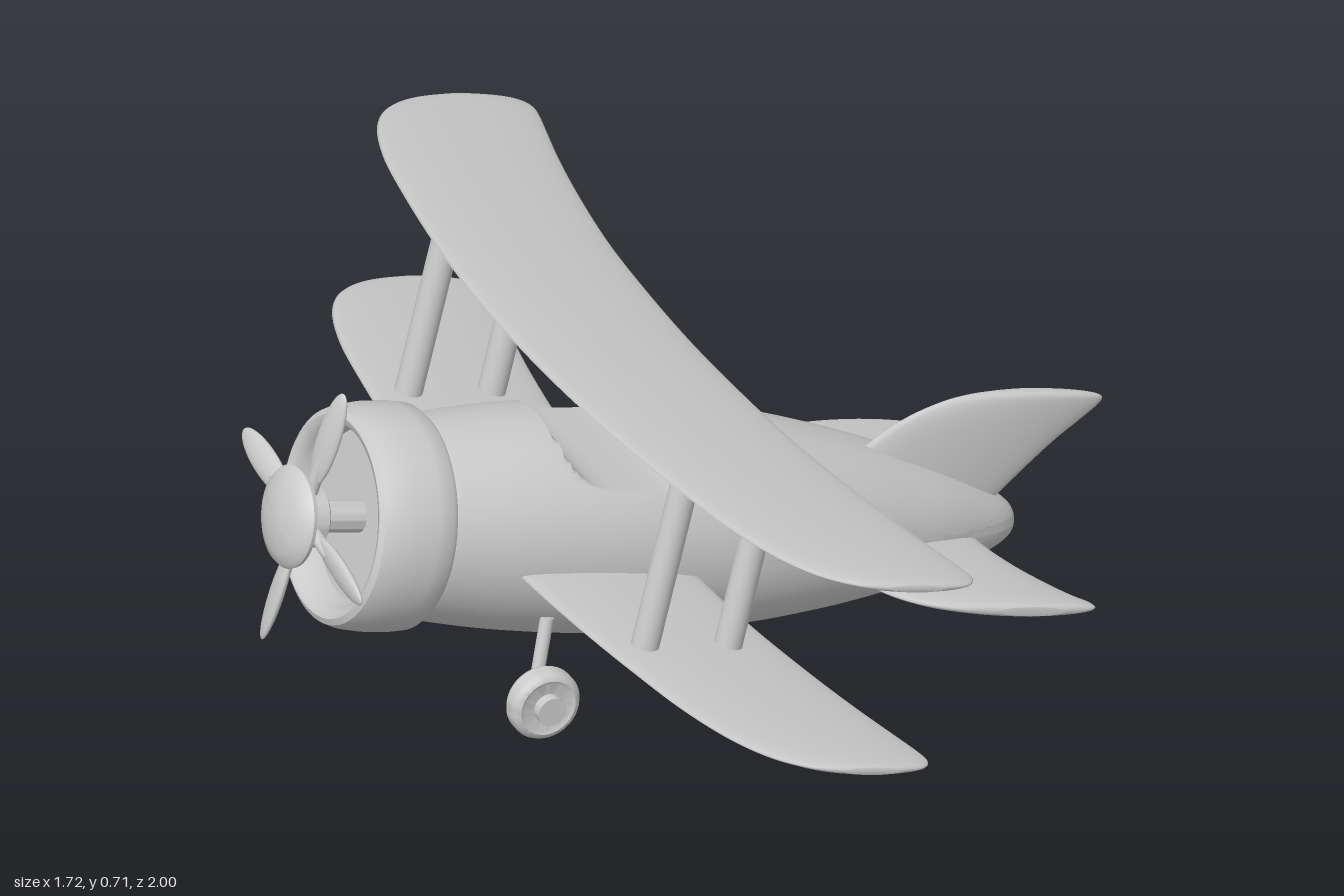
import * as THREE from 'three';
import { toCreasedNormals } from 'three/addons/utils/BufferGeometryUtils.js';

const material = new THREE.MeshStandardMaterial({ color: 0xcccccc, roughness: 0.7 });

function add(parent, name, geometry) {
  const mesh = new THREE.Mesh(geometry, material);
  mesh.name = name;
  parent.add(mesh);
  return mesh;
}

// Revolves [position, radius] pairs around the x axis
function turned(points, segments = 64) {
  const profile = points.map(([x, r]) => new THREE.Vector2(r, x));
  return new THREE.LatheGeometry(profile, segments).rotateZ(-Math.PI / 2);
}

function rod(parent, name, from, to, radius) {
  const a = new THREE.Vector3(...from), b = new THREE.Vector3(...to);
  const mesh = add(parent, name, new THREE.CylinderGeometry(radius, radius, a.distanceTo(b), 24));
  mesh.position.copy(a).add(b).multiplyScalar(0.5);
  mesh.quaternion.setFromUnitVectors(new THREE.Vector3(0, 1, 0), b.sub(a).normalize());
  return mesh;
}

// Lofts lens-shaped sections along z; each station is [span, leading edge, trailing edge]
function foil(stations, thickness, mirrored) {
  const all = mirrored
    ? [...stations.slice(1).reverse().map(([s, a, b]) => [-s, a, b]), ...stations]
    : stations;
  const sections = new THREE.CatmullRomCurve3(all.map(p => new THREE.Vector3(...p))).getPoints(96);
  const widest = Math.max(...sections.map(p => p.z - p.y));
  const rings = sections.map(p => [p.x, (p.y + p.z) / 2, (p.z - p.y) / 2]);
  const first = rings[0], last = rings[rings.length - 1];
  rings.unshift([first[0], first[1], 0]);
  rings.push([last[0], last[1], 0]);
  const n = 28, positions = [], index = [];
  rings.forEach(([s, mid, half], i) => {
    const k = thickness * Math.sqrt(2 * half / widest);
    for (let j = 0; j < n; j++) {
      const t = j / n * Math.PI * 2;
      positions.push(mid + half * Math.cos(t), k * Math.sin(t), s);
      if (i === rings.length - 1) continue;
      const a = i * n + j, b = i * n + (j + 1) % n;
      index.push(a, b, a + n, b, b + n, a + n);
    }
  });
  const g = new THREE.BufferGeometry();
  g.setAttribute('position', new THREE.Float32BufferAttribute(positions, 3));
  g.setIndex(index);
  g.computeVertexNormals();
  return g;
}

// Tapered body with a scooped cockpit opening
function fuselageGeometry() {
  const curve = new THREE.SplineCurve([
    [0.06, 0.185], [0.1, 0.195], [0.28, 0.214], [0.5, 0.22], [0.75, 0.205], [0.95, 0.172],
    [1.1, 0.136], [1.2, 0.106], [1.3, 0.066], [1.35, 0.037], [1.367, 0.012], [1.37, 0]
  ].map(([x, r]) => new THREE.Vector2(x, r)));
  const points = curve.getPoints(220).map(p => [p.x, Math.max(p.y, 0)]);
  const g = turned([[0.06, 0], ...points], 120);
  const pos = g.attributes.position;
  for (let i = 0; i < pos.count; i++) {
    const x = pos.getX(i), y = pos.getY(i);
    const t = (x - 0.452) / 0.148;
    if (y > 0 && Math.abs(t) < 1) {
      pos.setY(i, Math.min(y, 0.235 - 0.097 * Math.sqrt(1 - t ** 4)));
    } else {
      pos.setY(i, y - 0.012 * Math.max(0, x - 0.6) / 0.77);
    }
  }
  return toCreasedNormals(g, 0.6);
}

export function createModel() {
  const model = new THREE.Group();
  model.name = 'biplane';

  // Everything but the landing gear sits in a nose-up frame, x running from nose to tail
  const body = new THREE.Group();
  body.name = 'airframe';
  body.position.set(-0.65, 0.42, 0);
  body.rotation.z = -0.244;
  model.add(body);

  add(body, 'fuselage', fuselageGeometry());

  // Engine cowl with a recessed front
  add(body, 'cowl', toCreasedNormals(turned([
    [-0.025, 0], [-0.025, 0.165], [-0.07, 0.17], [-0.083, 0.18], [-0.087, 0.192], [-0.08, 0.204],
    [-0.06, 0.211], [-0.02, 0.216], [0.03, 0.217], [0.062, 0.214], [0.073, 0.206], [0.076, 0.19], [0.076, 0]
  ]), 0.7));

  // Propeller
  const propeller = new THREE.Group();
  propeller.name = 'propeller';
  propeller.rotation.x = 0.14;
  body.add(propeller);
  add(propeller, 'spinner', toCreasedNormals(turned([
    [-0.207, 0], [-0.204, 0.035], [-0.196, 0.067], [-0.184, 0.091], [-0.174, 0.098], [-0.166, 0.096], [-0.163, 0.088], [-0.163, 0]
  ], 48), 0.7));
  add(propeller, 'hub', toCreasedNormals(turned([
    [-0.17, 0], [-0.17, 0.058], [-0.118, 0.058], [-0.112, 0.05], [-0.112, 0.03], [-0.02, 0.03]
  ], 48), 0.7));
  for (let i = 0; i < 4; i++) {
    const arm = new THREE.Group();
    arm.name = 'bladeArm';
    arm.rotation.x = i * Math.PI / 2;
    propeller.add(arm);
    const blade = add(arm, 'blade', new THREE.SphereGeometry(1, 24, 20));
    blade.scale.set(0.012, 0.105, 0.029);
    blade.position.set(-0.145, 0.175, 0);
    blade.rotation.y = 0.25;
    rod(arm, 'bladeRoot', [-0.145, 0.03, 0], [-0.145, 0.13, 0], 0.013);
  }

  // Swept wings, one above the other, joined by struts
  const wing = foil([
    [0, 0.218, 0.594], [0.2, 0.224, 0.6], [0.4, 0.243, 0.615], [0.6, 0.274, 0.646], [0.75, 0.305, 0.677],
    [0.86, 0.344, 0.705], [0.92, 0.38, 0.72], [0.955, 0.414, 0.724], [0.985, 0.465, 0.705], [1, 0.535, 0.64]
  ], 0.014, true);
  add(body, 'upperWing', wing).position.y = 0.362;
  add(body, 'lowerWing', wing).position.y = -0.022;
  for (const z of [-0.525, 0.505])
    for (const x of [0.34, 0.517]) rod(body, 'wingStrut', [x, -0.022, z], [x, 0.362, z], 0.027);

  // Tail surfaces
  add(body, 'tailplane', foil([
    [0, 0.85, 1.25], [0.1, 0.87, 1.25], [0.2, 0.9, 1.277], [0.27, 0.928, 1.31], [0.32, 0.965, 1.34],
    [0.352, 1.01, 1.366], [0.372, 1.07, 1.362], [0.383, 1.16, 1.29]
  ], 0.016, true)).position.y = -0.009;
  const fin = foil([
    [0, 0.9, 1.27], [0.05, 0.925, 1.317], [0.1, 0.96, 1.357], [0.16, 1.02, 1.408], [0.208, 1.08, 1.456],
    [0.24, 1.145, 1.486], [0.254, 1.19, 1.487], [0.262, 1.24, 1.46], [0.267, 1.3, 1.38]
  ], 0.019, false).rotateX(-Math.PI / 2);
  add(body, 'tailFin', fin).position.z = 0.015;

  // Landing gear
  const tyre = toCreasedNormals(turned([
    [-0.022, 0], [-0.022, 0.05], [-0.025, 0.056], [-0.02, 0.066], [-0.01, 0.071],
    [0.01, 0.071], [0.02, 0.066], [0.025, 0.056], [0.022, 0.05], [0.022, 0]
  ], 48).rotateY(-Math.PI / 2), 0.7);
  for (const side of [-1, 1]) {
    const z = side * 0.24;
    add(model, 'wheel', tyre).position.set(-0.408, 0.083, z);
    rod(model, 'wheelHub', [-0.408, 0.083, z - 0.042], [-0.408, 0.083, z + 0.042], 0.029);
    rod(model, 'axle', [-0.408, 0.083, side * 0.18], [-0.408, 0.083, side * 0.22], 0.014);
    rod(model, 'gearLeg', [-0.408, 0.075, side * 0.2], [-0.37, 0.225, side * 0.178], 0.013);
  }
  return model;
}
